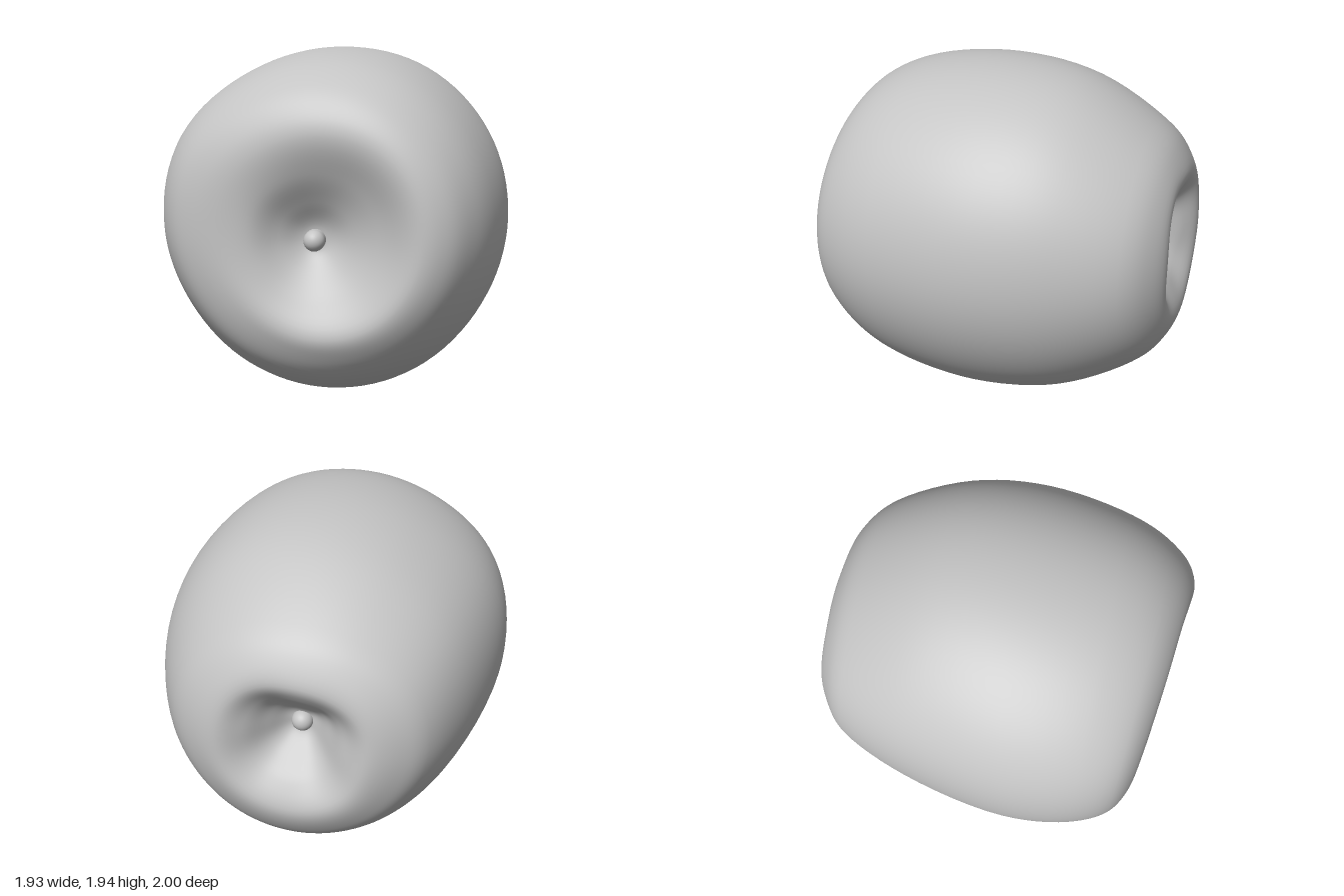
import * as THREE from 'three';

const skin = new THREE.MeshStandardMaterial({ color: 0xc4c4c4 });
skin.name = 'plain grey';

const CENTRE_Y = 0.97, RINGS = 96, SEGS = 96;

// Periodic Catmull-Rom interpolation through values, u in 0..1
function cyclic(values, u) {
  const n = values.length, f = u * n, i = Math.floor(f), t = f - i;
  const at = k => values[(k + n) % n];
  const [a, b, c, d] = [at(i - 1), at(i), at(i + 1), at(i + 2)];
  return b + 0.5 * t * (c - a + t * (2 * a - 5 * b + 4 * c - d + t * (3 * (b - c) + d - a)));
}

// Shared hollows: [radius, z] from the stem pole, and into the calyx pole
const stemHollow = [[0, 0.7], [0.08, 0.712], [0.2, 0.785], [0.35, 0.875]];
const calyxHollow = [[0.28, -0.925], [0.17, -0.82], [0.07, -0.735], [0, -0.725]];

// Outer profiles along the +x, top, -x and bottom sides
const sides = [
  [[0.54, 0.995], [0.69, 0.945], [0.81, 0.79], [0.9, 0.55], [0.965, 0.05], [0.9, -0.4], [0.72, -0.8], [0.58, -0.93], [0.42, -0.993]],
  [[0.53, 0.938], [0.66, 0.905], [0.79, 0.8], [0.91, 0.55], [0.97, 0.05], [0.9, -0.4], [0.67, -0.8], [0.55, -0.92], [0.39, -0.983]],
  [[0.52, 0.892], [0.68, 0.86], [0.81, 0.78], [0.915, 0.58], [0.968, 0.2], [0.87, -0.4], [0.71, -0.8], [0.6, -0.91], [0.42, -0.993]],
  [[0.53, 0.945], [0.65, 0.9], [0.78, 0.79], [0.9, 0.55], [0.97, 0.1], [0.91, -0.4], [0.71, -0.8], [0.6, -0.92], [0.43, -0.998]],
].map(p => new THREE.CatmullRomCurve3(
  [...stemHollow, ...p, ...calyxHollow].map(([r, z]) => new THREE.Vector3(r, 0, z))));

// Uneven roundness of the body, every 30 degrees from +x
const roundness = [1, 1.012, 1.015, 1, 1.003, 1.03, 1, 0.972, 0.984, 1, 1.003, 0.993];

function fruitGeometry() {
  const pos = [], index = [];
  for (let i = 0; i <= RINGS; i++) {
    const ring = sides.map(c => c.getPoint(i / RINGS));
    for (let j = 0; j < SEGS; j++) {
      const u = j / SEGS, a = u * Math.PI * 2;
      const r = Math.max(0, cyclic(ring.map(p => p.x), u)) * cyclic(roundness, u);
      let z = cyclic(ring.map(p => p.z), u);
      // Both hollows sit slightly off centre; the calyx one is softly pleated
      const inner = Math.max(0, 1 - r / 0.6);
      const dx = (z > 0 ? -0.05 : 0) * inner, dy = (z > 0 ? -0.04 : 0.02) * inner;
      if (z < 0 && r < 0.5) z += 0.015 * Math.sin(Math.PI * r / 0.5) ** 2 * Math.cos(4 * a + 2.6);
      pos.push(r * Math.cos(a) + dx, CENTRE_Y + r * Math.sin(a) + dy, z);
      if (i < RINGS) {
        const k = (j + 1) % SEGS, p = i * SEGS, q = p + SEGS;
        index.push(p + j, q + j, q + k, p + j, q + k, p + k);
      }
    }
  }
  const g = new THREE.BufferGeometry();
  g.setAttribute('position', new THREE.Float32BufferAttribute(pos, 3));
  g.setIndex(index);
  g.computeVertexNormals();
  return g;
}

// Small round-ended peg pointing along z
function peg(name, radius, length, x, y, z) {
  const mesh = new THREE.Mesh(new THREE.CapsuleGeometry(radius, length, 8, 24), skin);
  mesh.name = name;
  mesh.rotation.x = Math.PI / 2;
  mesh.position.set(x, y, z);
  return mesh;
}

export function createModel() {
  const model = new THREE.Group();
  model.name = 'apple';
  const body = new THREE.Mesh(fruitGeometry(), skin);
  body.name = 'fruitBody';
  model.add(body);
  model.add(peg('stem', 0.058, 0.07, -0.05, 0.93, 0.71));
  model.add(peg('calyx', 0.06, 0.02, 0, 0.99, -0.72));
  return model;
}
